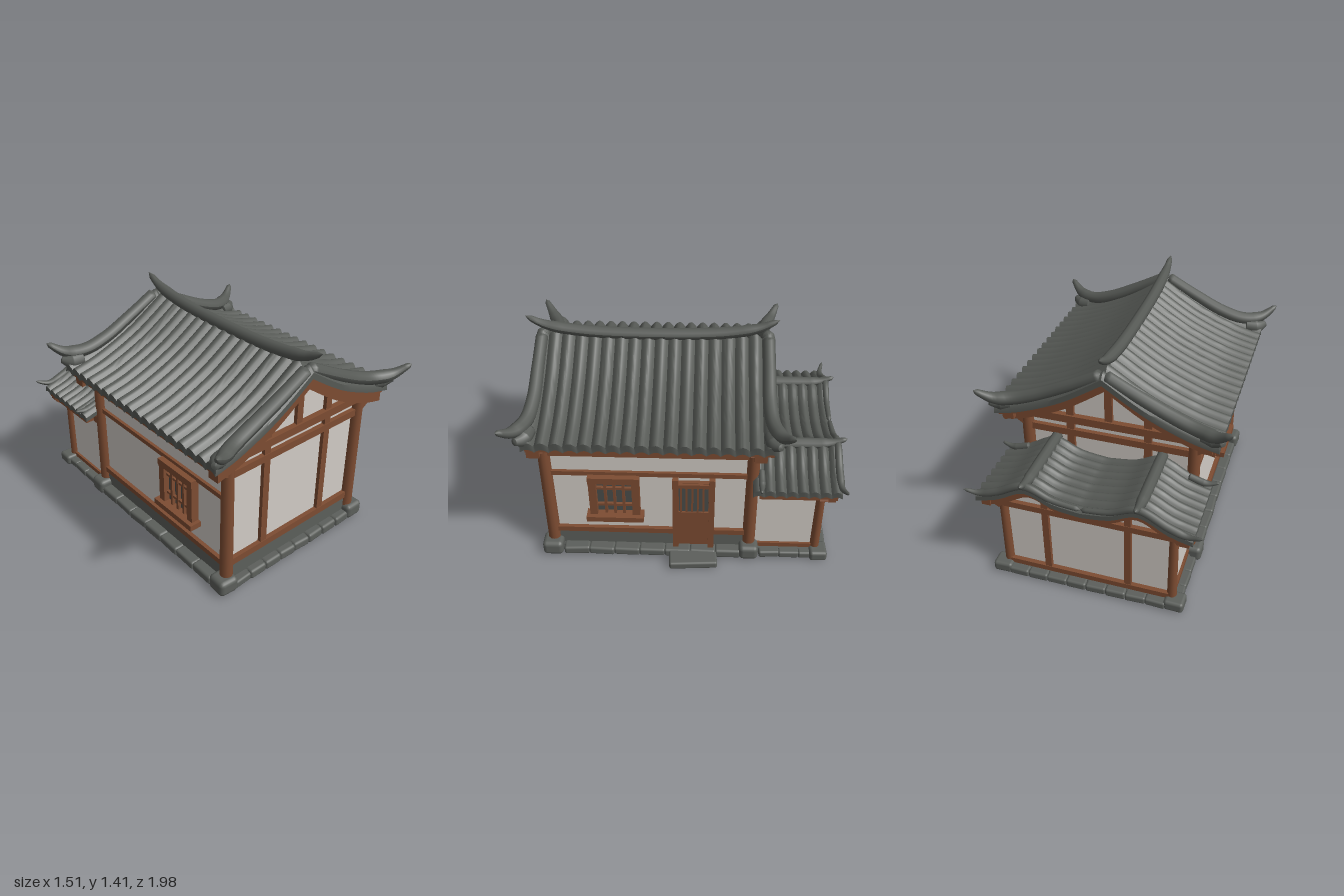
import * as THREE from 'three';
import { toCreasedNormals } from 'three/addons/utils/BufferGeometryUtils.js';
import { RoundedBoxGeometry } from 'three/addons/geometries/RoundedBoxGeometry.js';

const mat = (name, color) => {
  const m = new THREE.MeshStandardMaterial({ color });
  m.name = name;
  return m;
};

export function createModel() {
  const root = new THREE.Group();
  root.name = 'tiledHouse';
  const tile = mat('roofTile', 0x565955);
  const stone = mat('stone', 0x5c5f5b);
  const wood = mat('wood', 0x7d4c32);
  const plaster = mat('plaster', 0xd2ccc6);
  const dark = mat('darkPanel', 0x4b4e4b);

  let seed = 7;
  const rand = () => (seed = (seed * 16807) % 2147483647) / 2147483647;
  const V = (a) => new THREE.Vector3(...a);

  const add = (name, geo, m, x = 0, y = 0, z = 0) => {
    const mesh = new THREE.Mesh(geo, m);
    mesh.name = name;
    mesh.position.set(x, y, z);
    root.add(mesh);
    return mesh;
  };
  // box given by its limits
  const box = (name, m, x0, x1, y0, y1, z0, z1) =>
    add(name, new THREE.BoxGeometry(Math.abs(x1 - x0), y1 - y0, Math.abs(z1 - z0)), m,
      (x0 + x1) / 2, (y0 + y1) / 2, (z0 + z1) / 2);
  const rock = (name, x, y, z, w, h, d) => {
    const r = add(name, new RoundedBoxGeometry(w, h, d, 2, Math.min(w, h, d) * 0.28), stone, x, y, z);
    r.rotation.y = (rand() - 0.5) * 0.14;
  };
  const post = (name, x, z, y0, y1, r) =>
    add(name, new THREE.CylinderGeometry(r * 0.95, r * 1.05, y1 - y0, 12), wood, x, (y0 + y1) / 2, z);

  // half profile (from x = 0 outward) mirrored to a full one
  const mirrored = (pts) => {
    const half = new THREE.SplineCurve(pts.map((p) => new THREE.Vector2(...p))).getPoints(16);
    return [...half.slice(1).reverse().map((p) => new THREE.Vector2(-p.x, p.y)), ...half];
  };

  // thick curved sheet swept along z, its top optionally rippled in tile rows
  const sheet = (name, m, profile, drop, thick, z0, z1, rows = 0, amp = 0) => {
    const n = profile.length, ring = 2 * n, steps = rows ? rows * 8 : 1;
    const pos = [], idx = [];
    for (let i = 0; i <= steps; i++) {
      const t = i / steps, z = z0 + (z1 - z0) * t;
      const wave = rows ? amp * (2 * Math.abs(Math.sin(Math.PI * rows * t)) - 1) : 0;
      for (const p of profile) pos.push(p.x * (1 + wave * 0.5), p.y - drop + wave, z);
      for (const p of [...profile].reverse()) pos.push(p.x, p.y - drop - thick + wave * 0.6, z);
    }
    for (let i = 0; i < steps; i++) for (let j = 0; j < ring; j++) {
      const a = i * ring + j, b = i * ring + (j + 1) % ring;
      idx.push(a, a + ring, b, b, a + ring, b + ring);
    }
    const e = steps * ring;
    for (let j = 0; j < n - 1; j++) {
      const T = j, U = j + 1, B = ring - 1 - j, C = ring - 2 - j;
      idx.push(e + T, e + B, e + C, e + T, e + C, e + U);
      idx.push(T, C, B, T, U, C);
    }
    const g = new THREE.BufferGeometry();
    g.setAttribute('position', new THREE.Float32BufferAttribute(pos, 3));
    g.setIndex(idx);
    return add(name, toCreasedNormals(g, 0.7), m);
  };

  // tube whose radius follows a list of values, ends closed to a point
  const horn = (name, pts, radii) => {
    const curve = new THREE.CatmullRomCurve3(pts.map(V));
    const n = 40, sides = 10;
    const g = new THREE.TubeGeometry(curve, n, 1, sides);
    const p = g.attributes.position, v = new THREE.Vector3();
    for (let i = 0; i <= n; i++) {
      const c = curve.getPointAt(i / n), f = (i / n) * (radii.length - 1);
      const k = Math.min(Math.floor(f), radii.length - 2);
      const r = i === 0 || i === n ? 0.001 : THREE.MathUtils.lerp(radii[k], radii[k + 1], f - k);
      for (let j = 0; j <= sides; j++) {
        const q = i * (sides + 1) + j;
        v.fromBufferAttribute(p, q).sub(c).multiplyScalar(r).add(c);
        p.setXYZ(q, v.x, v.y, v.z);
      }
    }
    g.computeVertexNormals();
    add(name, g, tile);
  };

  // wall block with its top cut to the roof line
  const wallBlock = (name, profile, drop, half, y0, z0, z1) => {
    const s = new THREE.Shape();
    s.moveTo(half, y0);
    const top = profile.filter((p) => Math.abs(p.x) <= half);
    s.lineTo(half, top[0].y - drop);
    [...top].reverse().forEach((p) => s.lineTo(p.x, p.y - drop));
    s.lineTo(-half, top[0].y - drop);
    s.lineTo(-half, y0);
    add(name, new THREE.ExtrudeGeometry(s, { depth: z1 - z0, bevelEnabled: false }), plaster, 0, 0, z0);
  };

  const roof = mirrored([[0, 1.285], [0.25, 1.125], [0.5, 1.015], [0.68, 0.968]]);
  const annexRoof = mirrored([[0, 0.655], [0.17, 0.68], [0.33, 0.745], [0.5, 0.66], [0.64, 0.618]]);

  // stone footing
  box('foundation', stone, -0.55, 0.55, 0.004, 0.05, -0.47, 0.83);
  box('annexFoundation', stone, -0.54, 0.54, 0.004, 0.05, -0.88, -0.46);
  box('plinth', stone, -0.525, 0.525, 0.04, 0.16, -0.42, 0.815);
  for (let i = 0; i < 8; i++) {
    const x = -0.43 + i * 0.123;
    rock('frontStone', x, 0.027, 0.825, 0.125, 0.05 + rand() * 0.015, 0.08);
    rock('backStone', x, 0.027, -0.885, 0.125, 0.045 + rand() * 0.012, 0.08);
  }
  for (const s of [-1, 1]) {
    for (let i = 0; i < 7; i++)
      rock('sideStone', s * 0.55, 0.028, 0.66 - i * 0.16, 0.08, 0.05 + rand() * 0.012, 0.165);
    for (let i = 0; i < 3; i++)
      rock('annexSideStone', s * 0.54, 0.026, -0.56 - i * 0.125, 0.08, 0.048, 0.13);
    rock('postBase', s * 0.54, 0.05, 0.81, 0.13, 0.1, 0.13);
    rock('postBase', s * 0.54, 0.05, -0.43, 0.13, 0.1, 0.12);
    rock('annexPostBase', s * 0.54, 0.035, -0.87, 0.12, 0.07, 0.11);
  }
  rock('doorStep', 0.62, 0.025, -0.08, 0.14, 0.05, 0.3);

  // plaster walls
  wallBlock('mainWalls', roof, 0.09, 0.515, 0.1, -0.42, 0.795);
  wallBlock('annexWalls', annexRoof, 0.07, 0.515, 0.05, -0.85, -0.41);

  // timber framing of both gable ends
  for (const [face, d] of [[0.795, 1], [-0.42, -1]]) {
    const f = face - d * 0.01, o = face + d * 0.028;
    box('sillBeam', wood, -0.5, 0.5, 0.155, 0.2, f, o);
    box('tieBeam', wood, -0.5, 0.5, 0.775, 0.82, f, o);
    box('gableBeam', wood, -0.56, 0.56, 0.87, 0.92, f, o + d * 0.008);
    for (const x of [-0.24, 0.24]) box('gablePost', wood, x - 0.023, x + 0.023, 0.16, 1.06, f, o - d * 0.004);
    box('kingPost', wood, -0.023, 0.023, 0.9, 1.2, f, o - d * 0.004);
    sheet('bargeBoard', wood, roof.map((p) => p.clone().multiply(new THREE.Vector2(0.95, 1))), 0.045, 0.08,
      Math.min(face, face + d * 0.075), Math.max(face, face + d * 0.075));
  }

  // long sides
  for (const s of [-1, 1]) {
    const a = s * 0.505, b = s * 0.54;
    post('cornerPost', s * 0.518, 0.805, 0.08, 0.93, 0.038);
    post('cornerPost', s * 0.518, -0.43, 0.08, 0.93, 0.038);
    box('wallPlate', wood, a, b, 0.775, 0.812, -0.42, 0.8);
    box('middleRail', wood, a, b - s * 0.006, 0.622, 0.652, -0.42, 0.8);
    box('sideSill', wood, a, b, 0.158, 0.195, -0.42, 0.8);
    box('eaveStrip', dark, s * 0.512, s * 0.52, 0.812, 0.915, -0.4, 0.77);
    for (const z of [0.48, 0.03]) box('strut', wood, a, b, 0.8, 0.92, z - 0.02, z + 0.02);
    box('topBeam', wood, a, s * 0.55, 0.895, 0.935, -0.42, 0.8);
    box('eavePurlin', wood, s * 0.565, s * 0.635, 0.88, 0.935, -0.53, 0.87);
    for (const z of [0.805, -0.43]) {
      const k = box('bracket', wood, s * 0.52, s * 0.63, 0.835, 0.875, z - 0.028, z + 0.028);
      k.rotation.z = s * 0.6;
    }

    // lattice window
    box('windowPane', dark, s * 0.52, s * 0.528, 0.34, 0.6, 0.28, 0.52);
    for (const z of [0.27, 0.53]) box('windowJamb', wood, a, s * 0.565, 0.32, 0.625, z - 0.023, z + 0.023);
    box('windowHead', wood, a, s * 0.57, 0.585, 0.63, 0.245, 0.555);
    box('windowSill', wood, a, s * 0.592, 0.298, 0.335, 0.225, 0.575);
    for (const z of [0.345, 0.4, 0.455]) box('windowBar', wood, a, s * 0.55, 0.33, 0.59, z - 0.008, z + 0.008);
    for (const y of [0.4, 0.53]) box('windowBar', wood, a, s * 0.546, y - 0.008, y + 0.008, 0.28, 0.52);
  }

  // door
  box('doorPanel', wood, 0.5, 0.542, 0.07, 0.585, -0.2, 0.04);
  box('doorLight', dark, 0.54, 0.546, 0.355, 0.555, -0.17, 0.01);
  for (const z of [0.03, -0.19]) box('doorJamb', wood, 0.5, 0.56, 0.06, 0.62, z - 0.018, z + 0.018);
  box('doorHead', wood, 0.5, 0.556, 0.555, 0.582, -0.2, 0.04);
  box('doorRail', wood, 0.5, 0.556, 0.335, 0.36, -0.18, 0.02);
  for (let i = 0; i < 5; i++) box('doorBar', wood, 0.54, 0.553, 0.35, 0.56, -0.146 + i * 0.034, -0.134 + i * 0.034);

  // annex framing
  for (const s of [-1, 1]) {
    post('annexPost', s * 0.515, -0.85, 0.05, 0.59, 0.028);
    box('annexTopBeam', wood, s * 0.505, s * 0.54, 0.51, 0.56, -0.85, -0.45);
    box('annexSill', wood, s * 0.505, s * 0.53, 0.055, 0.085, -0.85, -0.45);
    box('annexPurlin', wood, s * 0.56, s * 0.615, 0.54, 0.585, -0.93, -0.47);
    const k = box('annexBracket', wood, s * 0.52, s * 0.62, 0.51, 0.545, -0.875, -0.825);
    k.rotation.z = s * 0.55;
    box('annexMiddlePost', wood, s * 0.25 - 0.02, s * 0.25 + 0.02, 0.06, 0.63, -0.875, -0.84);
  }
  box('annexBackBeam', wood, -0.53, 0.53, 0.51, 0.55, -0.878, -0.84);
  box('annexBackSill', wood, -0.5, 0.5, 0.055, 0.09, -0.878, -0.84);
  sheet('annexBargeBoard', wood, annexRoof.map((p) => p.clone().multiply(new THREE.Vector2(0.96, 1))), 0.035, 0.055, -0.92, -0.85);
  sheet('annexSoffit', wood, annexRoof.map((p) => p.clone().multiply(new THREE.Vector2(0.97, 1))), 0.035, 0.02, -0.93, -0.47);

  // tiled roofs
  sheet('soffit', wood, roof.map((p) => p.clone().multiply(new THREE.Vector2(0.97, 1))), 0.045, 0.025, -0.53, 0.87);
  sheet('mainRoof', tile, roof, 0, 0.045, -0.55, 0.89, 18, 0.016);
  sheet('annexRoof', tile, annexRoof, 0, 0.035, -0.95, -0.43, 8, 0.012);

  // ridges with upturned ends
  horn('mainRidge', [[0, 1.4, 0.94], [0, 1.345, 0.83], [0, 1.305, 0.6], [0, 1.29, 0.17],
    [0, 1.305, -0.25], [0, 1.345, -0.46], [0, 1.4, -0.57]], [0.014, 0.035, 0.037, 0.037, 0.037, 0.037, 0.037, 0.035, 0.014]);
  for (const s of [-1, 1]) {
    for (const [z, d] of [[0.85, 1], [-0.51, -0.85]]) {
      horn('gableRidge', [[0, 1.28, z], [s * 0.2, 1.175, z], [s * 0.4, 1.08, z], [s * 0.55, 1.035, z + d * 0.02],
        [s * 0.66, 1.04, z + d * 0.07], [s * 0.755, 1.105, z + d * 0.135]], [0.038, 0.038, 0.04, 0.042, 0.042, 0.014]);
      horn('cornerTile', [[s * 0.57, 0.99, z], [s * 0.65, 0.985, z + d * 0.02], [s * 0.7, 1.0, z + d * 0.06]], [0.04, 0.045, 0.02]);
    }
    horn('annexRidge', [[s * 0.33, 0.745, -0.42], [s * 0.33, 0.742, -0.7], [s * 0.33, 0.75, -0.9], [s * 0.33, 0.782, -0.995]],
      [0.034, 0.036, 0.036, 0.034, 0.012]);
    horn('annexEdgeRidge', [[0, 0.665, -0.94], [s * 0.17, 0.69, -0.94], [s * 0.33, 0.75, -0.94], [s * 0.5, 0.67, -0.94],
      [s * 0.61, 0.637, -0.945], [s * 0.695, 0.665, -0.97]], [0.015, 0.018, 0.022, 0.024, 0.024, 0.008]);
    horn('annexFrontHorn', [[s * 0.5, 0.665, -0.48], [s * 0.61, 0.635, -0.48], [s * 0.68, 0.65, -0.475]], [0.02, 0.022, 0.008]);
  }
  return root;
}
